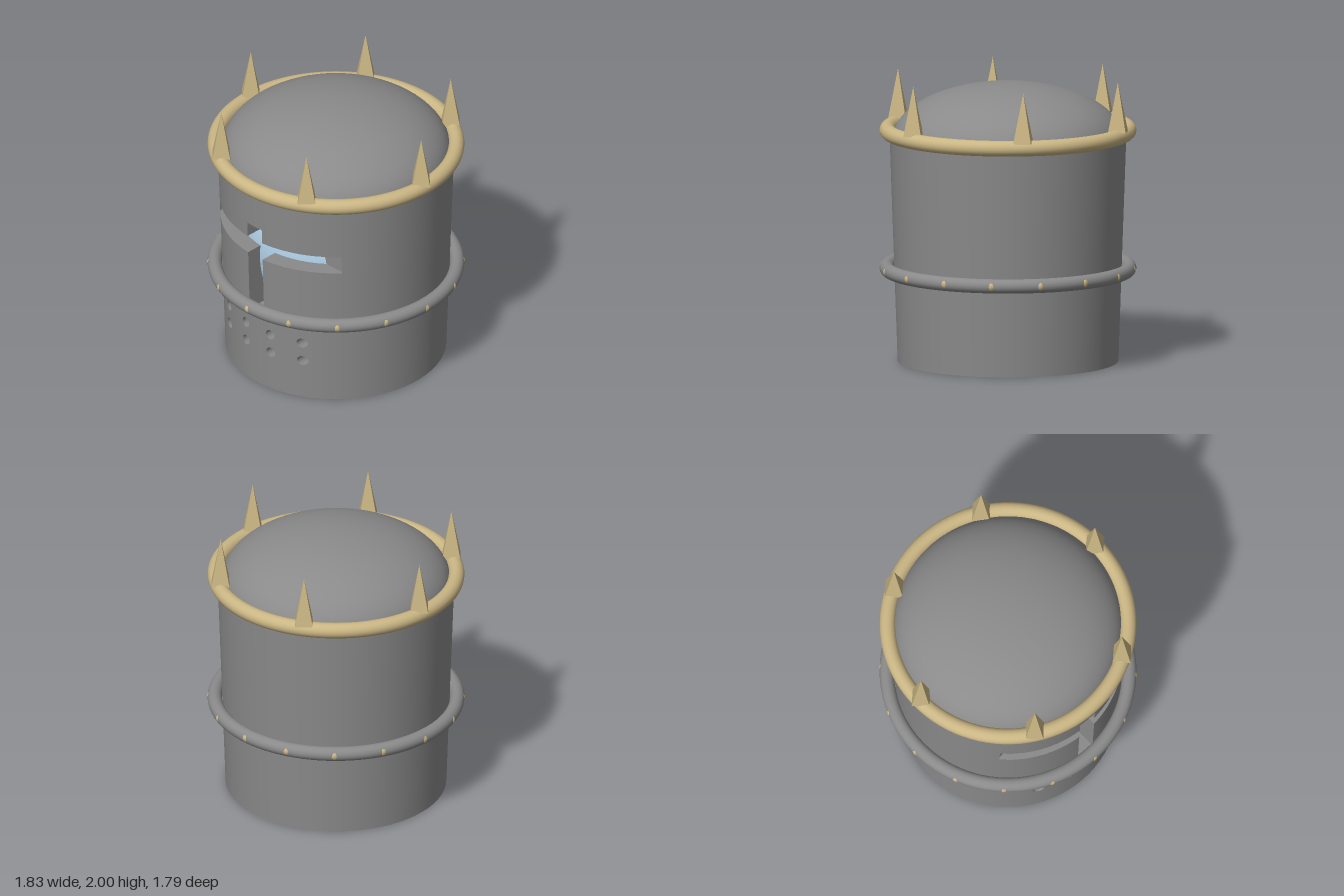
import * as THREE from 'three';

const mat = (name, color, side = THREE.FrontSide) => {
  const m = new THREE.MeshStandardMaterial({ color, side });
  m.name = name;
  return m;
};

// Slightly flared helmet wall
const TOP = 1.62;
const radius = (y) => 0.765 + 0.035 * y;
const onWall = (x, y) => [x, y, Math.sqrt(radius(y) ** 2 - x * x)];
const wallNormal = ([x, y, z]) => [x / radius(y), -0.035, z / radius(y)];

// Breathing holes and cross-shaped visor
const HOLE = 0.037, CELL = 0.048, SLOT_BACK = 0.53, HOLE_BACK = 0.38;
const holes = [];
for (const x of [-0.353, -0.118, 0.118, 0.353]) for (const y of [0.3, 0.445]) holes.push([x, y]);
const inSlot = (x, y) =>
  (Math.abs(x) < 0.59 && y > 1.05 && y < 1.185) || (Math.abs(x) < 0.07 && y > 0.585 && y < 1.295);
const inHoleCell = (x, y) => holes.some(([hx, hy]) => Math.abs(x - hx) < CELL && Math.abs(y - hy) < CELL);
const cross = [
  [-0.07, 0.585], [0.07, 0.585], [0.07, 1.05], [0.59, 1.05], [0.59, 1.185], [0.07, 1.185],
  [0.07, 1.295], [-0.07, 1.295], [-0.07, 1.185], [-0.59, 1.185], [-0.59, 1.05], [-0.07, 1.05],
];
const circle = (cx, cy, r, n = 24) => Array.from({ length: n }, (_, i) => {
  const a = (i / n) * Math.PI * 2;
  return [cx + r * Math.cos(a), cy + r * Math.sin(a)];
});

function quadGeometry(quads, normalOf) {
  const pos = [], nor = [];
  for (const [a, b, c, d] of quads) for (const p of [a, b, c, a, c, d]) {
    pos.push(...p);
    if (normalOf) nor.push(...normalOf(p));
  }
  const g = new THREE.BufferGeometry();
  g.setAttribute('position', new THREE.Float32BufferAttribute(pos, 3));
  if (normalOf) g.setAttribute('normal', new THREE.Float32BufferAttribute(nor, 3));
  else g.computeVertexNormals();
  return g;
}

// Wall grid with openings left out, and a round rim fitted in each hole cell
function shellGeometry() {
  const half = [0.035, 0.07, 0.118, 0.166, 0.235, 0.305, 0.353, 0.401, 0.46, 0.53, 0.59];
  const xs = [...half.map((x) => -x).reverse(), 0, ...half];
  const ys = [0, 0.252, 0.3, 0.348, 0.397, 0.445, 0.493, 0.585, 1.05, 1.185, 1.295, TOP];
  const backSteps = 48, quads = [];
  const backPoint = (k, y) => {
    const r = radius(y), a0 = Math.asin(0.59 / r);
    const a = a0 + (k / backSteps) * (Math.PI * 2 - 2 * a0);
    return [r * Math.sin(a), y, r * Math.cos(a)];
  };
  for (let j = 0; j < ys.length - 1; j++) {
    const y0 = ys[j], y1 = ys[j + 1], ym = (y0 + y1) / 2;
    for (let i = 0; i < xs.length - 1; i++) {
      const x0 = xs[i], x1 = xs[i + 1], xm = (x0 + x1) / 2;
      if (inSlot(xm, ym) || inHoleCell(xm, ym)) continue;
      quads.push([onWall(x0, y0), onWall(x1, y0), onWall(x1, y1), onWall(x0, y1)]);
    }
    for (let k = 0; k < backSteps; k++)
      quads.push([backPoint(k, y0), backPoint(k + 1, y0), backPoint(k + 1, y1), backPoint(k, y1)]);
  }
  for (const [hx, hy] of holes) {
    const inner = circle(hx, hy, HOLE);
    const outer = inner.map(([x, y]) => {
      const s = CELL / Math.max(Math.abs(x - hx), Math.abs(y - hy));
      return [hx + (x - hx) * s, hy + (y - hy) * s];
    });
    inner.forEach((p, i) => {
      const n = (i + 1) % inner.length;
      quads.push([onWall(...outer[i]), onWall(...outer[n]), onWall(...inner[n]), onWall(...p)]);
    });
  }
  return quadGeometry(quads, wallNormal);
}

// Sides of a recess, running from the curved wall to a flat back
function recessGeometry(outline, zBack, steps) {
  const quads = [];
  outline.forEach((p, i) => {
    const q = outline[(i + 1) % outline.length];
    const at = (t) => [p[0] + (q[0] - p[0]) * t, p[1] + (q[1] - p[1]) * t];
    for (let s = 0; s < steps; s++) {
      const a = at(s / steps), b = at((s + 1) / steps);
      quads.push([onWall(...a), onWall(...b), [...b, zBack], [...a, zBack]]);
    }
  });
  return quadGeometry(quads);
}

export function createModel() {
  const steel = mat('steel grey', 0x8a8a8a);
  const steelOpen = mat('steel grey', 0x8a8a8a);
  const gold = mat('pale gold', 0xcab684);
  const blue = mat('light blue', 0xb0d0e8);
  const model = new THREE.Group();
  const add = (name, geometry, material, x = 0, y = 0, z = 0) => {
    const m = new THREE.Mesh(geometry, material);
    m.name = name;
    m.position.set(x, y, z);
    model.add(m);
    return m;
  };
  const recess = (name, outline, zBack, steps) => {
    add(name + 'Sides', recessGeometry(outline, zBack, steps), steel);
    const shape = new THREE.Shape(outline.map((p) => new THREE.Vector2(...p)));
    add(name + 'Back', new THREE.ShapeGeometry(shape), steel, 0, 0, zBack);
  };

  // Helmet shell with its base, visor and breathing holes
  add('helmetShell', shellGeometry(), steel);
  add('helmetBase', new THREE.CircleGeometry(radius(0), 72), steel).rotation.x = Math.PI / 2;
  recess('visor', cross, SLOT_BACK, 8);
  for (const [x, y] of holes) recess('breathingHole', circle(x, y, HOLE), HOLE_BACK, 1);

  // Head seen through the visor
  add('head', new THREE.SphereGeometry(0.685, 64, 40), blue, 0, 0.97, 0);

  // Domed top
  const dome = new THREE.SphereGeometry(1, 64, 24, 0, Math.PI * 2, 0, Math.PI / 2);
  add('dome', dome.scale(0.8, 0.395, 0.8), steel, 0, 1.55, 0);

  // Crown ring with six spikes
  add('crownRing', new THREE.TorusGeometry(0.835, 0.055, 20, 96), gold, 0, 1.615, 0).rotation.x = Math.PI / 2;
  const spike = new THREE.ConeGeometry(0.088, 0.35, 4).toNonIndexed();
  spike.computeVertexNormals();
  for (let i = 0; i < 6; i++) {
    const a = (i * Math.PI) / 3;
    add('crownSpike', spike, gold, 0.825 * Math.cos(a), 1.825, 0.825 * Math.sin(a));
  }

  // Middle band with small studs
  add('middleBand', new THREE.TorusGeometry(0.84, 0.05, 20, 96), steel, 0, 0.65, 0).rotation.x = Math.PI / 2;
  const stud = new THREE.SphereGeometry(0.035, 10, 8);
  for (let i = 0; i < 16; i++) {
    const a = (i * Math.PI) / 8;
    add('bandStud', stud, gold, 0.86 * Math.sin(a), 0.65, 0.86 * Math.cos(a));
  }
  return model;
}
